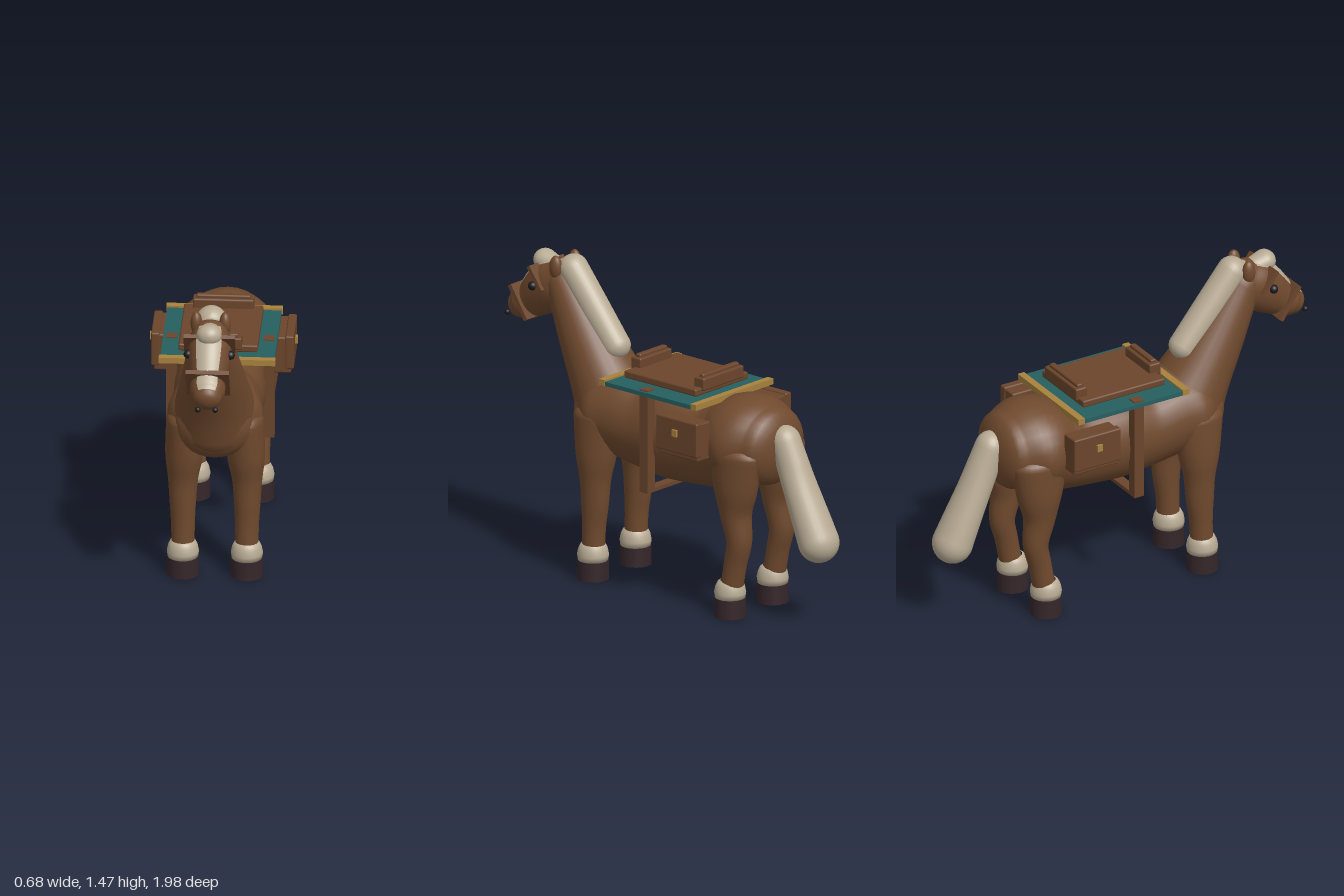
import * as THREE from 'three';
import { RoundedBoxGeometry } from 'three/addons/geometries/RoundedBoxGeometry.js';

const mat = (name, color, extra = {}) => {
  const m = new THREE.MeshStandardMaterial({ color, ...extra });
  m.name = name;
  return m;
};

// Skin through elliptical sections [x, y, z, halfWidth, halfDepth], with domed ends or an open arc
function loft(points, { domes = [0, 0], arc = null, inflate = 0, steps = 6, sides = 28 } = {}) {
  const centre = new THREE.CatmullRomCurve3(points.map(p => new THREE.Vector3(p[0], p[1], p[2])), false, 'catmullrom');
  const radius = new THREE.CatmullRomCurve3(points.map(p => new THREE.Vector3(p[3], p[4], 0)), false, 'catmullrom');
  const rings = [];
  const add = (t, angle, reach) => {
    const T = centre.getTangent(t), r = radius.getPoint(t), k = Math.max(Math.cos(angle), 0.002);
    rings.push({
      p: centre.getPoint(t).addScaledVector(T, reach * Math.sin(angle)),
      n: T.clone().cross(new THREE.Vector3(1, 0, 0)).normalize(),
      rx: (r.x + inflate) * k, r: (r.y + inflate) * k,
    });
  };
  const count = (points.length - 1) * steps, D = 7;
  if (!arc) for (let i = D; i > 0; i--) add(0, (i / D) * Math.PI / 2, -domes[0]);
  for (let i = 0; i <= count; i++) add(i / count, 0, 0);
  if (!arc) for (let i = 1; i <= D; i++) add(1, (i / D) * Math.PI / 2, domes[1]);

  const cols = arc ? sides + 1 : sides, pos = [], index = [];
  const [a0, a1] = arc || [0, Math.PI * 2];
  for (const g of rings) for (let j = 0; j < cols; j++) {
    const a = a0 + (a1 - a0) * j / sides, s = g.r * Math.sin(a);
    pos.push(g.p.x + g.rx * Math.cos(a), g.p.y + g.n.y * s, g.p.z + g.n.z * s);
  }
  for (let i = 0; i < rings.length - 1; i++) for (let j = 0; j < sides; j++) {
    const k = (j + 1) % cols, a = i * cols + j, b = i * cols + k, c = a + cols, d = b + cols;
    index.push(a, b, c, b, d, c);
  }
  const geo = new THREE.BufferGeometry();
  geo.setAttribute('position', new THREE.Float32BufferAttribute(pos, 3));
  geo.setIndex(index);
  geo.computeVertexNormals();
  return geo;
}

export function createModel() {
  const horse = new THREE.Group();
  horse.name = 'packHorse';
  const coat = mat('brown coat', 0x704a2e);
  const cream = mat('cream hair', 0xb8ab94);
  const patch = mat('cream marking', 0xb8ab94, { side: THREE.DoubleSide });
  const hoofMat = mat('dark hoof', 0x35262a);
  const leather = mat('saddle leather', 0x6b452b);
  const teal = mat('teal cloth', 0x265f60);
  const gold = mat('gold trim', 0xa8823e);
  const black = mat('black eye', 0x1c1a1c);

  const part = (name, geo, m, x = 0, y = 0, z = 0, rx = 0) => {
    const mesh = new THREE.Mesh(geo, m);
    mesh.name = name;
    mesh.position.set(x, y, z);
    mesh.rotation.x = rx;
    horse.add(mesh);
    return mesh;
  };
  const box = (name, m, w, h, d, x, y, z, rx = 0) =>
    part(name, new THREE.BoxGeometry(w, h, d), m, x, y, z, rx);
  const pad = (name, w, h, d, x, y, z) =>
    part(name, new RoundedBoxGeometry(w, h, d, 2, 0.008), leather, x, y, z);

  // Body, neck and head
  part('body', loft([
    [0, 0.81, -0.6, 0.195, 0.185], [0, 0.81, -0.48, 0.25, 0.22], [0, 0.775, -0.36, 0.222, 0.212],
    [0, 0.755, -0.25, 0.208, 0.208], [0, 0.757, -0.03, 0.212, 0.226], [0, 0.757, 0.13, 0.205, 0.206],
    [0, 0.785, 0.27, 0.213, 0.212], [0, 0.79, 0.36, 0.22, 0.2], [0, 0.785, 0.43, 0.18, 0.165],
  ], { domes: [0.09, 0.09] }), coat);
  part('neck', loft([
    [0, 0.8, 0.34, 0.2, 0.2], [0, 0.93, 0.42, 0.172, 0.165], [0, 1.08, 0.515, 0.143, 0.138],
    [0, 1.22, 0.6, 0.116, 0.112], [0, 1.33, 0.665, 0.095, 0.09],
  ], { domes: [0.12, 0.08] }), coat);
  const skull = [
    [0, 1.36, 0.67, 0.085, 0.09], [0, 1.315, 0.725, 0.1, 0.12], [0, 1.26, 0.79, 0.095, 0.113],
    [0, 1.205, 0.86, 0.082, 0.09], [0, 1.175, 0.91, 0.08, 0.08], [0, 1.16, 0.94, 0.066, 0.065],
  ];
  part('head', loft(skull, { domes: [0.06, 0.045] }), coat);
  part('faceBlaze', loft(skull, { arc: [Math.PI * 0.31, Math.PI * 0.69], inflate: 0.004, sides: 10 }), patch);

  // Mane, forelock and tail
  part('mane', loft([
    [0, 1.085, 0.35, 0.068, 0.065], [0, 1.24, 0.482, 0.07, 0.07], [0, 1.405, 0.615, 0.07, 0.068],
  ], { domes: [0.06, 0.065] }), cream);
  part('forelock', loft([
    [0, 1.4, 0.64, 0.05, 0.045], [0, 1.39, 0.71, 0.048, 0.045], [0, 1.41, 0.79, 0.058, 0.05],
  ], { domes: [0.04, 0.05] }), cream);
  part('tail', loft([
    [0, 0.85, -0.685, 0.072, 0.07], [0, 0.75, -0.727, 0.076, 0.076], [0, 0.65, -0.772, 0.084, 0.077],
    [0, 0.5, -0.843, 0.095, 0.085], [0, 0.405, -0.887, 0.1, 0.092],
  ], { domes: [0.075, 0.095] }), cream);

  // Legs: front and hind shapes, mirrored across x
  const legs = {
    front: { hoofZ: 0.365, path: [
      [0.14, 0.78, 0.35, 0.085, 0.12], [0.142, 0.6, 0.35, 0.087, 0.1], [0.147, 0.48, 0.35, 0.07, 0.075],
      [0.148, 0.36, 0.352, 0.061, 0.066], [0.147, 0.25, 0.358, 0.055, 0.055], [0.147, 0.14, 0.362, 0.053, 0.053]] },
    hind: { hoofZ: -0.475, path: [
      [0.15, 0.78, -0.51, 0.09, 0.14], [0.148, 0.62, -0.51, 0.088, 0.112], [0.147, 0.5, -0.51, 0.072, 0.078],
      [0.147, 0.37, -0.53, 0.06, 0.06], [0.147, 0.26, -0.508, 0.053, 0.054], [0.147, 0.14, -0.485, 0.053, 0.053]] },
  };
  const sock = new THREE.LatheGeometry([[0.05, 0.085], [0.07, 0.09], [0.074, 0.115], [0.068, 0.145], [0.058, 0.165], [0.045, 0.172]]
    .map(p => new THREE.Vector2(...p)), 28);
  const hoof = new THREE.CylinderGeometry(0.072, 0.074, 0.09, 28);
  const sideName = s => (s > 0 ? 'Left' : 'Right');
  for (const s of [1, -1]) {
    const side = sideName(s);
    for (const [name, leg] of Object.entries(legs)) {
      part(name + side + 'Leg', loft(leg.path.map(([x, ...rest]) => [s * x, ...rest]), { domes: [0.06, 0.02] }), coat);
      part(name + side + 'Sock', sock, cream, s * 0.147, 0, leg.hoofZ);
      part(name + side + 'Hoof', hoof, hoofMat, s * 0.147, 0.045, leg.hoofZ);
    }

    // Facial features
    const ear = part('ear' + side, new THREE.SphereGeometry(1, 18, 14), coat, s * 0.066, 1.41, 0.665);
    ear.scale.set(0.027, 0.057, 0.032);
    part('eye' + side, new THREE.SphereGeometry(0.021, 16, 12), black, s * 0.097, 1.305, 0.78);
    part('nostril' + side, new THREE.SphereGeometry(0.013, 12, 10), black, s * 0.04, 1.122, 0.985);

    // Girth strap and saddlebag
    box('girthStrap' + side, leather, 0.05, 0.49, 0.05, s * 0.224, 0.77, -0.035);
    pad('saddlebag' + side, 0.09, 0.18, 0.24, s * 0.27, 0.855, -0.305);
    pad('saddlebagFlap' + side, 0.04, 0.165, 0.25, s * 0.308, 0.87, -0.305);
    box('saddlebagClasp' + side, gold, 0.016, 0.032, 0.028, s * 0.332, 0.885, -0.3);
  }
  box('girthBelly', leather, 0.498, 0.018, 0.05, 0, 0.529, -0.035);

  // Bridle bands
  box('noseband', leather, 0.2, 0.18, 0.022, 0, 1.205, 0.87, 0.58);
  box('browband', leather, 0.236, 0.13, 0.02, 0, 1.348, 0.752, 0.62);

  // Blanket with gold hems
  box('blanket', teal, 0.525, 0.02, 0.56, 0, 1.0, -0.075);
  for (const z of [0.205, -0.355]) box('blanketHem', gold, 0.535, 0.028, 0.034, 0, 1.005, z);

  // Saddle seat with raised front and rear ridges
  pad('saddleBase', 0.3, 0.03, 0.36, 0, 1.02, -0.07);
  pad('saddleSeat', 0.365, 0.035, 0.44, 0, 1.038, -0.075);
  for (const [name, w, z] of [['pommel', 0.22, 0.137], ['cantle', 0.28, -0.277]]) {
    pad(name, w, 0.06, 0.06, 0, 1.07, z);
    pad(name + 'Top', w - 0.03, 0.045, 0.03, 0, 1.093, z);
  }
  return horse;
}
